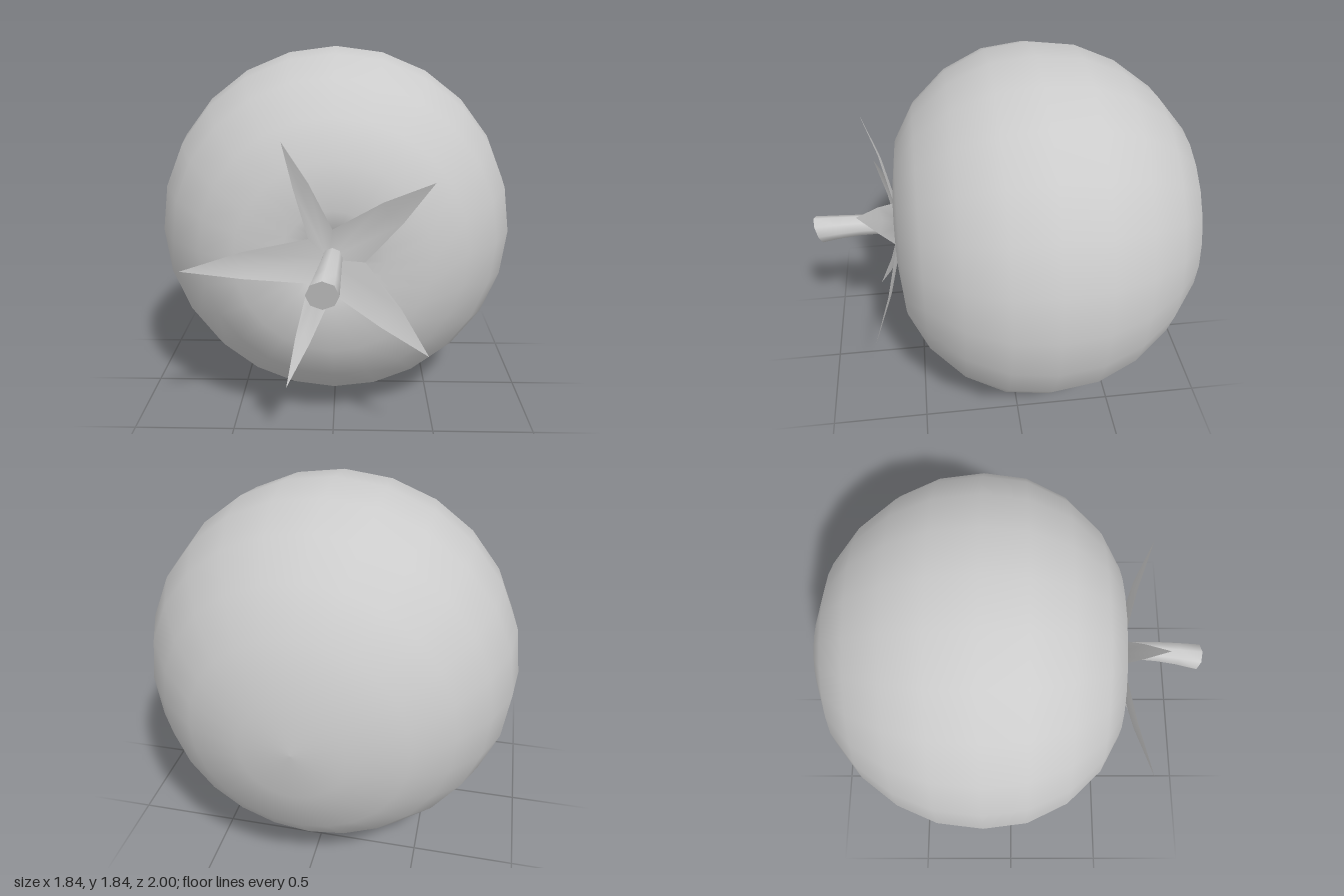
import * as THREE from 'three';

const CY = 0.925; // height of the fruit's axis, which runs along z
const material = new THREE.MeshStandardMaterial({ color: 0xcccccc });
const thinMaterial = new THREE.MeshStandardMaterial({ color: 0xcccccc, side: THREE.DoubleSide });

// Round fruit body: profile of (radius, z) from the back to the dimple in front
function makeFruit() {
  const profile = [
    [0, -1], [0.235, -0.985], [0.49, -0.89], [0.67, -0.745], [0.81, -0.56], [0.895, -0.36],
    [0.922, -0.135], [0.895, 0.08], [0.8, 0.28], [0.64, 0.45], [0.46, 0.55], [0.24, 0.58],
    [0.12, 0.535], [0, 0.46],
  ].map(([r, z]) => new THREE.Vector2(r, z));
  const geometry = new THREE.LatheGeometry(profile, 24).rotateX(Math.PI / 2);
  const mesh = new THREE.Mesh(geometry, material);
  mesh.name = 'fruit';
  mesh.position.y = CY;
  return mesh;
}

// Star of five slightly curled leaves around the stem
function makeCalyx() {
  const tips = [[0.44, 0.405], [-0.21, 0.575], [-0.67, 0], [-0.21, -0.565], [0.44, -0.4]];
  const valleys = [[0, 0.155], [-0.11, 0.11], [-0.11, -0.105], [0, -0.155], [0.15, 0]];
  const center = new THREE.Vector3(-0.02, 0, 0.54);
  const positions = [center.x, center.y, center.z];
  const index = [];
  tips.forEach((t, i) => {
    const tip = new THREE.Vector3(t[0], t[1], 0.72);
    const [va, vb] = [valleys[(i + 4) % 5], valleys[i]].map(([x, y]) => new THREE.Vector3(x, y, 0.58));
    const rib = center.clone().lerp(tip, 0.58).setZ(0.625);
    // Edge midpoints bulge a little away from the rib
    const edge = (v) => {
      const m = v.clone().lerp(tip, 0.52);
      return m.addScaledVector(m.clone().sub(rib), 0.25).setZ(0.64);
    };
    const b = positions.length / 3;
    for (const p of [va, edge(va), rib, tip, edge(vb), vb]) positions.push(p.x, p.y, p.z);
    const [A, MA, R, T, MB, B] = [0, 1, 2, 3, 4, 5].map((k) => b + k);
    index.push(0, A, MA, 0, MA, R, R, MA, T, R, T, MB, 0, R, MB, 0, MB, B);
  });
  const geometry = new THREE.BufferGeometry();
  geometry.setAttribute('position', new THREE.Float32BufferAttribute(positions, 3));
  geometry.setIndex(index);
  geometry.computeVertexNormals();
  const mesh = new THREE.Mesh(geometry, thinMaterial);
  mesh.name = 'calyx';
  mesh.position.y = CY;
  return mesh;
}

// Bent stem that thickens towards a slanted cut end
function makeStem() {
  const geometry = new THREE.CylinderGeometry(1, 1, 1, 8, 5).rotateX(Math.PI / 2);
  const p = geometry.attributes.position;
  for (let i = 0; i < p.count; i++) {
    const t = p.getZ(i) + 0.5;
    const radius = 0.046 + 0.024 * t ** 2;
    const x = p.getX(i) * radius;
    const y = p.getY(i) * radius;
    p.setXYZ(
      i,
      x - 0.03 * t ** 2,
      y + 0.025 * Math.sin(Math.PI * t),
      0.46 + 0.52 * t + y * 0.3 * t ** 4,
    );
  }
  geometry.computeVertexNormals();
  const mesh = new THREE.Mesh(geometry, material);
  mesh.name = 'stem';
  mesh.position.y = CY;
  return mesh;
}

export function createModel() {
  const group = new THREE.Group();
  group.name = 'tomato';
  group.add(makeFruit(), makeCalyx(), makeStem());
  return group;
}
